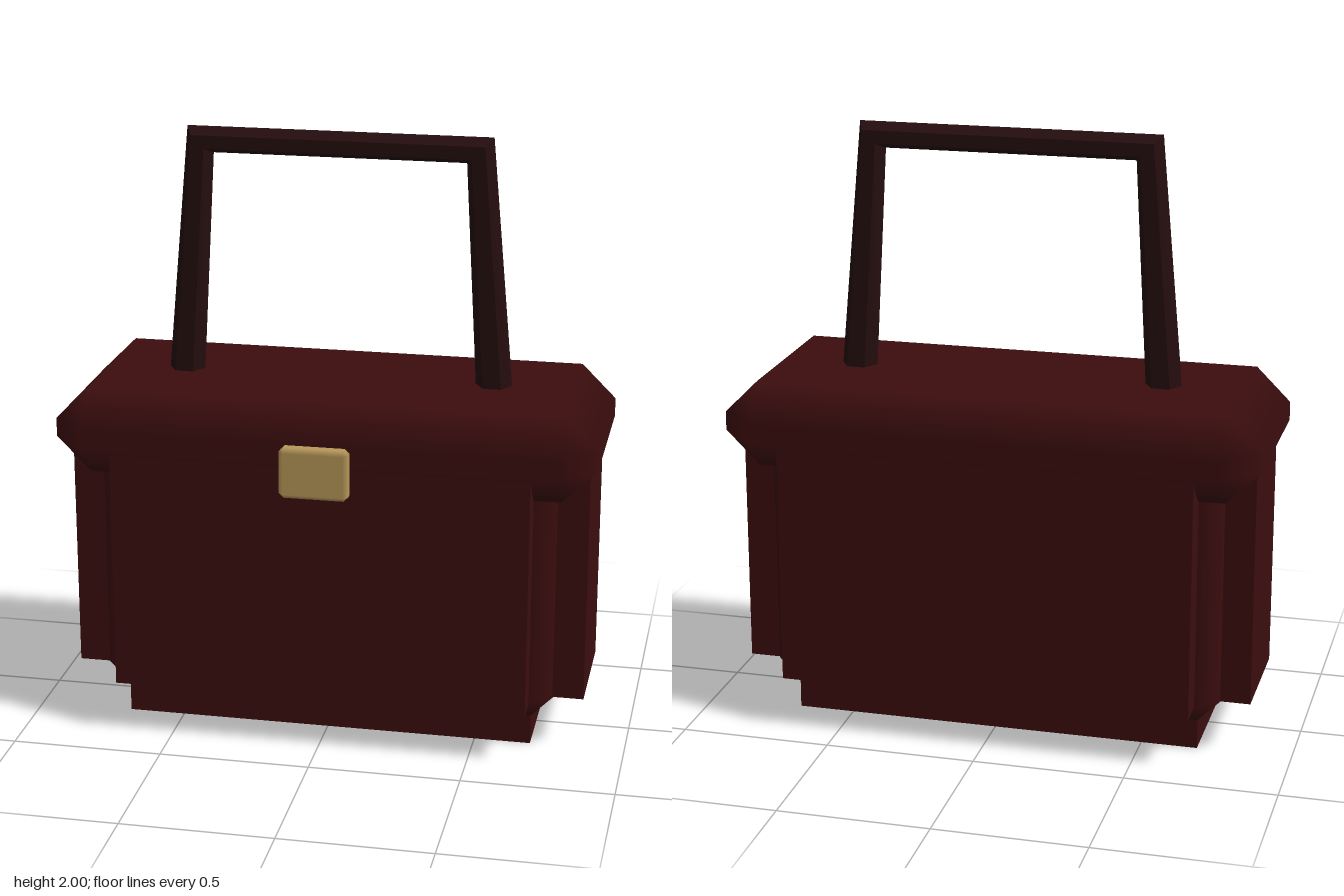
import * as THREE from 'three';
import { ConvexGeometry } from 'three/addons/geometries/ConvexGeometry.js';

const leather = new THREE.MeshStandardMaterial({ color: 0x3c0d0e });
leather.name = 'dark red leather';
const strap = new THREE.MeshStandardMaterial({ color: 0x240d0e });
strap.name = 'dark handle leather';
const brass = new THREE.MeshStandardMaterial({ color: 0xb9995a });
brass.name = 'brass';

const MID_Z = -0.02;

// Box between two corners with every edge cut by c; the cuts blend smoothly from face to face
function chamferBox(min, max, c) {
  const h = min.map((v, i) => (max[i] - v) / 2);
  const points = [];
  for (let axis = 0; axis < 3; axis++)
    for (const sx of [-1, 1]) for (const sy of [-1, 1]) for (const sz of [-1, 1]) {
      const s = [sx, sy, sz];
      points.push(new THREE.Vector3(...h.map((v, i) => s[i] * (i === axis ? v : v - c))));
    }
  const geo = new ConvexGeometry(points);
  const pos = geo.attributes.position;
  const normal = geo.attributes.normal;
  // each vertex lies on exactly one flat face and takes that face's normal
  for (let i = 0; i < pos.count; i++) {
    const p = [pos.getX(i), pos.getY(i), pos.getZ(i)];
    normal.setXYZ(i, ...p.map((v, k) => (Math.abs(v) > h[k] - c / 2 ? Math.sign(v) : 0)));
  }
  return geo.translate(...min.map((v, i) => (v + max[i]) / 2));
}

function plainBox(min, max) {
  return new THREE.BoxGeometry(...min.map((v, i) => max[i] - v))
    .translate(...min.map((v, i) => (v + max[i]) / 2));
}

// Six-sided strap through rings: [centre x, centre y, outward x, outward y]
function handleGeometry() {
  const r = 0.061;
  const sides = 6;
  const k = Math.SQRT1_2;
  const rings = [
    [-0.521, 1.1, -1, 0.07], [-0.458, 1.956, -k, k],
    [0.458, 1.956, k, k], [0.521, 1.1, 1, 0.07],
  ];
  const positions = [];
  const index = [];
  rings.forEach(([x, y, dx, dy], i) => {
    for (let j = 0; j < sides; j++) {
      const a = (j / sides) * Math.PI * 2;
      positions.push(x + r * Math.cos(a) * dx, y + r * Math.cos(a) * dy, MID_Z + r * Math.sin(a));
      if (i === rings.length - 1) continue;
      const p = i * sides + j;
      const q = i * sides + ((j + 1) % sides);
      index.push(p, q, p + sides, q, q + sides, p + sides);
    }
  });
  const geo = new THREE.BufferGeometry();
  geo.setAttribute('position', new THREE.Float32BufferAttribute(positions, 3));
  geo.setIndex(index);
  const flat = geo.toNonIndexed();
  flat.computeVertexNormals();
  return flat;
}

export function createModel() {
  const bag = new THREE.Group();
  bag.name = 'handbag';
  const add = (name, geo, material) => {
    const mesh = new THREE.Mesh(geo, material);
    mesh.name = name;
    bag.add(mesh);
  };

  // Body: chamfered core with raised panels on its sides and underneath
  add('bodyCore', chamferBox([-0.76, 0.1, -0.29], [0.76, 1.05, 0.25], 0.073), leather);
  add('frontBackPanels', plainBox([-0.687, 0.175, -0.392], [0.687, 1.0, 0.352]), leather);
  add('sidePanels', plainBox([-0.86, 0.175, -0.217], [0.86, 1.0, 0.18]), leather);
  add('base', plainBox([-0.687, 0, -0.217], [0.687, 0.3, 0.18]), leather);

  // Lid overhanging the body
  add('lid', chamferBox([-0.89, 0.89, -0.42], [0.89, 1.18, 0.377], 0.114), leather);

  // Clasp and handle
  add('clasp', chamferBox([-0.113, 0.895, 0.365], [0.113, 1.065, 0.42], 0.016), brass);
  add('handle', handleGeometry(), strap);
  return bag;
}
